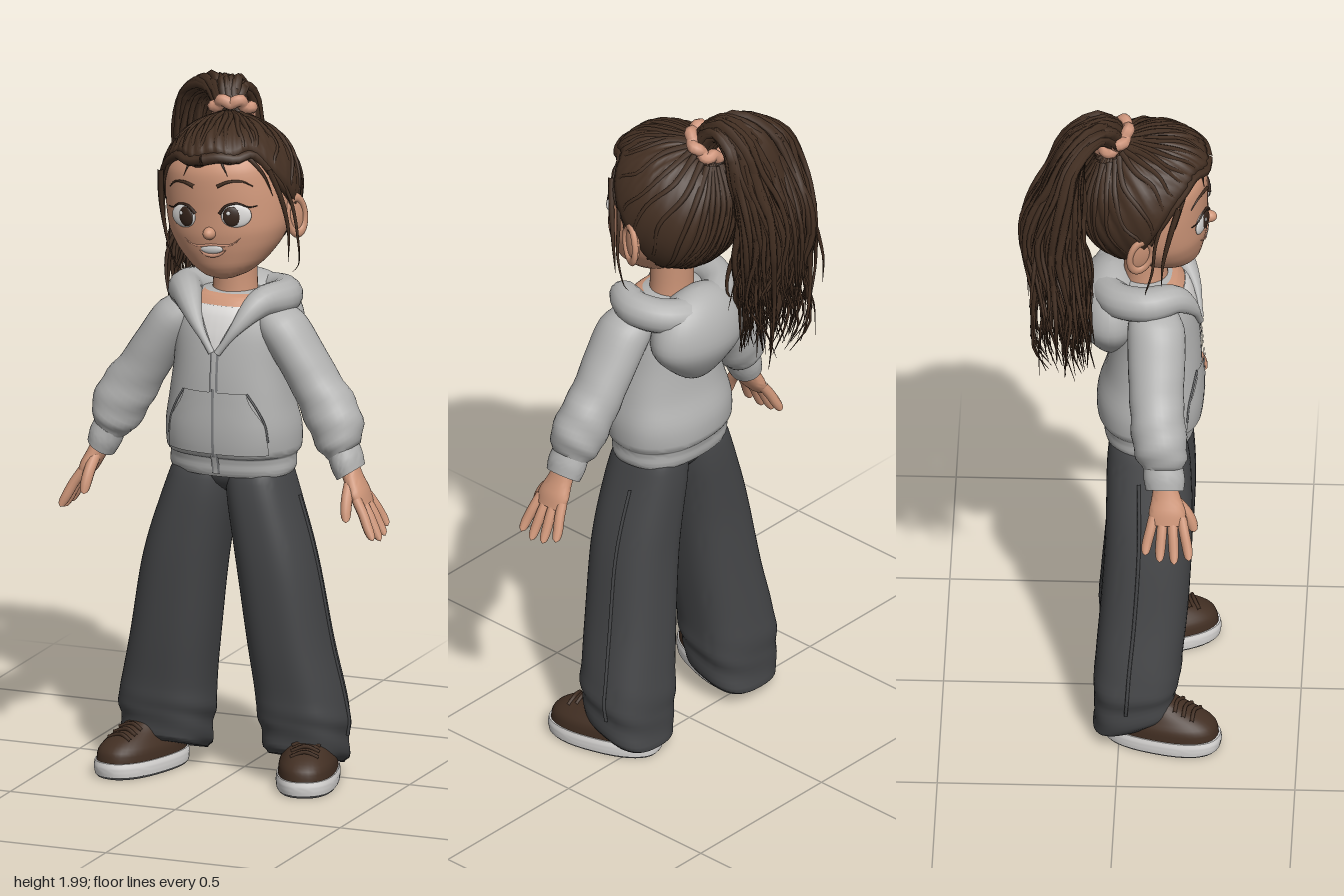
import * as THREE from 'three';
import { toCreasedNormals, mergeGeometries } from 'three/addons/utils/BufferGeometryUtils.js';

const V = (x, y, z) => new THREE.Vector3(x, y, z);
const step = THREE.MathUtils.smoothstep;
const mat = (name, color) => Object.assign(new THREE.MeshStandardMaterial({ color }), { name });
let seed = 7;
const rnd = () => (seed = (seed * 16807) % 2147483647) / 2147483647;

// Skin through rings [x, y, z, a, b]; a and b are the radii along u and v.
function loft(rows, { u = V(1, 0, 0), v = V(0, 0, 1), n = 36, exp = 2, sub = 4, ripple = () => 0 } = {}) {
  const centres = new THREE.CatmullRomCurve3(rows.map(r => V(r[0], r[1], r[2])));
  const radii = new THREE.CatmullRomCurve3(rows.map((r, i) => V(r[3], r[4], i * 0.03)));
  const m = (rows.length - 1) * sub, pos = [], idx = [];
  const flip = u.clone().cross(v).dot(centres.getPoint(1).sub(centres.getPoint(0))) < 0;
  const tri = (a, b, c) => (flip ? idx.push(a, c, b) : idx.push(a, b, c));
  const pw = c => Math.sign(c) * Math.abs(c) ** (2 / exp);
  for (let i = 0; i <= m; i++) {
    const c = centres.getPoint(i / m), r = radii.getPoint(i / m);
    for (let j = 0; j < n; j++) {
      const t = (j / n) * Math.PI * 2, k = 1 + ripple(i / m, t);
      const p = c.clone().addScaledVector(u, r.x * k * pw(Math.cos(t))).addScaledVector(v, r.y * k * pw(Math.sin(t)));
      pos.push(p.x, p.y, p.z);
      if (i < m) {
        const A = i * n + j, B = i * n + (j + 1) % n;
        tri(A, B, B + n); tri(A, B + n, A + n);
      }
    }
  }
  const e0 = pos.length / 3, c0 = centres.getPoint(0), c1 = centres.getPoint(1);
  pos.push(c0.x, c0.y, c0.z, c1.x, c1.y, c1.z);
  for (let j = 0; j < n; j++) {
    const k = (j + 1) % n;
    tri(e0, k, j); tri(e0 + 1, m * n + j, m * n + k);
  }
  const g = new THREE.BufferGeometry();
  g.setAttribute('position', new THREE.Float32BufferAttribute(pos, 3));
  g.setIndex(idx);
  return toCreasedNormals(g, 0.9);
}
// Ring from its left/right and front/back limits
const ring = (y, x0, x1, zf, zb) => [(x0 + x1) / 2, y, (zf + zb) / 2, Math.abs(x1 - x0) / 2, (zf - zb) / 2];
const mid = (y, w, zf, zb) => ring(y, -w, w, zf, zb);

// Tube whose radius follows a profile f(s)
const taper = s => 1 - 0.95 * s ** 2, round = s => Math.sqrt(Math.max(0, 1 - s ** 8)), even = () => 1;
function strand(pts, r, f = taper, seg = 20, rad = 6) {
  const curve = new THREE.CatmullRomCurve3(pts), g = new THREE.TubeGeometry(curve, seg, r, rad);
  const P = g.attributes.position, p = V(0, 0, 0);
  for (let k = 0; k < P.count; k++) {
    const s = Math.floor(k / (rad + 1)) / seg, c = curve.getPointAt(s);
    p.fromBufferAttribute(P, k).sub(c).multiplyScalar(f(s)).add(c);
    P.setXYZ(k, p.x, p.y, p.z);
  }
  return g;
}
// Front surface point of a mesh at x, y
function hit(target, x, y) {
  const h = new THREE.Raycaster(V(x, y, 2), V(0, 0, -1)).intersectObject(target)[0];
  return h ? { p: h.point, n: h.face.normal.clone() } : { p: V(x, y, 0.1), n: V(0, 0, 1) };
}
// Thin panel laid on a mesh between two heights, half width w(y)
function drape(target, y0, y1, w, lift) {
  const g = new THREE.PlaneGeometry(1, 1, 16, 14), P = g.attributes.position;
  for (let k = 0; k < P.count; k++) {
    const y = y0 + (y1 - y0) * (P.getY(k) + 0.5), x = P.getX(k) * 2 * w(y);
    P.setXYZ(k, x, y, hit(target, x, y).p.z + lift);
  }
  g.computeVertexNormals();
  return g;
}
const ball = (x, y, z) => new THREE.SphereGeometry(1, 24, 16).scale(x, y, z);

export function createModel() {
  const skin = mat('skin', 0xcd9578), hair = mat('hair', 0x432f22), grey = mat('hoodieGrey', 0xb2b2b1);
  const seam = mat('seamGrey', 0x808183), cloth = mat('trouserCharcoal', 0x454648), brown = mat('shoeBrown', 0x422f23);
  const white = mat('white', 0xdcdad8), under = mat('outsoleGrey', 0x77787a), band = mat('hairBandTan', 0xcf967c);
  const dark = mat('eyeDark', 0x35241b);
  const model = new THREE.Group(), head = new THREE.Group();
  head.name = 'head';
  model.add(head);
  const add = (name, geo, m, parent = model) => {
    const mesh = new THREE.Mesh(geo, m);
    mesh.name = name;
    parent.add(mesh);
    return mesh;
  };

  // Hoodie body with hem, open neck, zip and pockets
  const torso = add('hoodieBody', loft([mid(0.89, 0.174, 0.198, -0.047), mid(0.905, 0.18, 0.204, -0.052), mid(0.94, 0.18, 0.207, -0.055),
    mid(0.957, 0.191, 0.22, -0.068), mid(1.02, 0.193, 0.226, -0.068), mid(1.1, 0.178, 0.224, -0.045), mid(1.2, 0.162, 0.218, -0.03),
    mid(1.3, 0.157, 0.203, -0.02), mid(1.36, 0.14, 0.183, -0.01), mid(1.4, 0.1, 0.15, 0), mid(1.412, 0.05, 0.11, 0.03)],
    { n: 56, exp: 2.3, ripple: (s, t) => 0.008 * Math.sin(5 * t + 9 * s) }), grey);
  const neckline = y => Math.max(0.002, (y - 1.25) * 0.5);
  add('shirt', drape(torso, 1.25, 1.378, neckline, 0.005), white);
  add('upperChest', drape(torso, 1.378, 1.405, neckline, 0.004), skin);
  add('zipTape', drape(torso, 0.9, 1.26, () => 0.012, 0.004), seam);
  add('zip', drape(torso, 0.9, 1.26, () => 0.006, 0.007), grey);
  add('hemSeam', drape(torso, 0.945, 0.949, () => 0.165, 0.003), seam);
  add('pocketPanel', drape(torso, 0.96, 1.14, y => 0.15 - 0.055 * step(y, 1.02, 1.14), 0.006), grey);
  add('zipFront', drape(torso, 0.95, 1.15, () => 0.004, 0.009), seam);
  for (const s of [-1, 1])
    add('pocketEdge', strand([[0.15, 1.0], [0.143, 1.05], [0.12, 1.1], [0.095, 1.14]].map(([x, y]) => hit(torso, x * s, y).p.add(V(0, 0, 0.006))), 0.003, even), seam);

  // Hood: rolled collar and the bag hanging behind
  const side = [[0.008, 1.25, 0.218], [0.06, 1.325, 0.2], [0.108, 1.388, 0.15], [0.145, 1.393, 0.07], [0.11, 1.385, -0.01]];
  const loop = [...side.map(([x, y, z]) => V(-x, y, z)), V(0, 1.375, -0.05), ...side.reverse().map(p => V(...p))];
  add('hoodCollar', strand(loop, 0.05, s => 0.2 + 0.8 * step(Math.min(s, 1 - s), 0.02, 0.27), 60, 14), grey);
  const bag = new THREE.SphereGeometry(1, 36, 24), B = bag.attributes.position;
  for (let k = 0; k < B.count; k++) {
    const y = B.getY(k), w = 1 - 0.3 * step(-y, 0, 1);
    B.setXYZ(k, B.getX(k) * 0.165 * w, 1.295 + y * 0.145, -0.032 + B.getZ(k) * 0.1 * w);
  }
  bag.computeVertexNormals();
  add('hoodBag', bag, grey);
  add('neck', loft([mid(1.34, 0.075, 0.135, 0), mid(1.42, 0.063, 0.127, 0.005), mid(1.54, 0.062, 0.13, 0)]), skin);

  // Trousers
  add('trouserSeat', loft([mid(0.81, 0.03, 0.1, 0.03), mid(0.86, 0.09, 0.165, -0.015), mid(0.93, 0.16, 0.18, -0.03)], { exp: 2.4 }), cloth);
  for (const s of [-1, 1]) {
    const k = s < 0 ? -1.06 : 1;
    const rows = [[0.93, 0, 0.145, 0.165, -0.02], [0.885, -0.008, 0.166, 0.184, -0.034], [0.82, -0.004, 0.187, 0.194, -0.039], [0.7, 0.015, 0.224, 0.2, -0.04],
      [0.6, 0.03, 0.248, 0.2, -0.042], [0.4, 0.055, 0.282, 0.19, -0.055], [0.25, 0.073, 0.313, 0.176, -0.068], [0.18, 0.076, 0.325, 0.172, -0.073],
      [0.13, 0.086, 0.32, 0.162, -0.07], [0.07, 0.092, 0.317, 0.156, -0.074], [0.055, 0.105, 0.302, 0.145, -0.064]];
    const leg = loft(rows.map(([y, a, b, f, c]) => ring(y, a * k, b * k, f, c)),
      { n: 48, exp: 2.6, ripple: (q, t) => 0.018 * step(q, 0.5, 0.85) * Math.sin(2 * t + q * 46) + 0.008 * Math.sin(4 * t + q * 5) });
    const P = leg.attributes.position;
    for (let i = 0; i < P.count; i++) // hem rises over the instep
      P.setY(i, P.getY(i) + (P.getZ(i) - 0.03) * 0.32 * (1 - step(P.getY(i), 0.06, 0.3)));
    add('trouserLeg', leg, cloth);
    add('trouserSideSeam', strand(rows.slice(2, 9).map(([y, , x, f, c]) => V((x + 0.002) * k, y, (f + c) / 2 - 0.025)), 0.005, even, 30), cloth);

    // Shoes, toes turned out
    const shoe = new THREE.Group();
    shoe.name = 'shoe';
    shoe.position.set(s < 0 ? -0.26 : 0.235, 0, s < 0 ? 0.12 : 0.1);
    shoe.rotation.y = s * 0.29;
    model.add(shoe);
    const foot = { exp: 2.4, n: 40, sub: 3 };
    add('outsole', loft([mid(0, 0.08, 0.16, -0.16), mid(0.008, 0.086, 0.168, -0.166)], foot), under, shoe);
    add('sole', loft([mid(0.008, 0.086, 0.168, -0.166), mid(0.03, 0.088, 0.172, -0.168), mid(0.047, 0.085, 0.169, -0.165)], foot), white, shoe);
    add('shoeUpper', loft([mid(0.042, 0.082, 0.164, -0.16), mid(0.075, 0.079, 0.157, -0.16), mid(0.1, 0.066, 0.125, -0.155),
      mid(0.125, 0.055, 0.065, -0.145), mid(0.16, 0.045, 0, -0.13)], foot), brown, shoe);
    for (let i = 0; i < 3; i++)
      add('lace', strand([V(-0.04, 0.103 + i * 0.01, 0.1 - i * 0.025), V(0, 0.117 + i * 0.01, 0.095 - i * 0.025), V(0.04, 0.103 + i * 0.01, 0.1 - i * 0.025)], 0.006, even), brown, shoe);

    // Sleeve and cuff
    const u = V(0.84 * s, 0.545, 0);
    const arm = a => a.map(([x, ...r]) => [x * s, ...r]);
    add('sleeve', loft(arm([[0.1, 1.37, 0.09, 0.035, 0.055], [0.155, 1.32, 0.1, 0.066, 0.08], [0.215, 1.235, 0.103, 0.067, 0.08], [0.265, 1.155, 0.105, 0.07, 0.076],
      [0.31, 1.085, 0.112, 0.079, 0.077], [0.343, 1.02, 0.12, 0.074, 0.074], [0.357, 0.98, 0.126, 0.048, 0.055]]),
      { u, n: 32, ripple: (q, t) => 0.035 * Math.sin(q * 34 + 2 * t) * step(q, 0.3, 0.7) }), grey);
    add('cuff', loft(arm([[0.353, 0.985, 0.127, 0.047, 0.056], [0.366, 0.955, 0.13, 0.048, 0.058], [0.378, 0.925, 0.132, 0.043, 0.053]]), { u }), grey);

    // Hand
    add('palm', loft(arm([[0.372, 0.945, 0.132, 0.028, 0.032], [0.39, 0.905, 0.137, 0.026, 0.042], [0.41, 0.868, 0.14, 0.024, 0.052], [0.427, 0.838, 0.14, 0.016, 0.044]]), { u, n: 24 }), skin);
    for (let i = 0; i < 4; i++) {
      const z = 0.102 + i * 0.026, l = [0.85, 1, 1.05, 0.96][i], at = (x, y, dz) => V(s * (0.415 + x * l), 0.86 - y * l, z + dz);
      add('finger', strand([at(0, 0, 0), at(0.025, 0.04, (i - 1.5) * 0.006), at(0.045, 0.08, (i - 1.5) * 0.012), at(0.062, 0.112, (i - 1.5) * 0.015)], 0.0145, round, 16, 10), skin);
    }
    add('thumb', strand([V(s * 0.385, 0.905, 0.155), V(s * 0.39, 0.865, 0.19), V(s * 0.394, 0.832, 0.207), V(s * 0.398, 0.8, 0.216)], 0.0165, round, 16, 10), skin);
  }

  // Face
  const face = add('face', loft([mid(1.458, 0.03, 0.18, 0.12), mid(1.47, 0.066, 0.204, 0.07), mid(1.5, 0.108, 0.222, 0.02), mid(1.55, 0.15, 0.234, -0.03),
    mid(1.6, 0.173, 0.241, -0.06), mid(1.66, 0.18, 0.24, -0.08), mid(1.72, 0.178, 0.24, -0.09), mid(1.78, 0.167, 0.234, -0.08), mid(1.84, 0.125, 0.19, -0.05), mid(1.88, 0.04, 0.11, 0.02)],
    { n: 56, exp: 2.1 }), skin, head);
  const onFace = (name, geo, m, x, y, lift = 0) => {
    const { p, n } = hit(face, x, y), mesh = add(name, geo, m, head);
    mesh.position.copy(p).addScaledVector(n, lift);
    mesh.lookAt(mesh.position.clone().add(n));
  };
  const line = (pts, lift) => pts.map(([x, y]) => { const h = hit(face, x, y); return h.p.addScaledVector(h.n, lift); });
  onFace('nose', ball(0.018, 0.018, 0.024), skin, 0, 1.603);
  onFace('teeth', ball(0.034, 0.013, 0.006), white, 0, 1.556);
  add('smile', strand(line([[-0.085, 1.585], [-0.06, 1.568], [-0.03, 1.566], [0, 1.569], [0.03, 1.566], [0.06, 1.568], [0.085, 1.585]], 0), 0.004, s => 0.3 + 0.7 * Math.sin(s * Math.PI)), band, head);
  add('lowerLip', strand(line([[-0.04, 1.552], [-0.022, 1.541], [0, 1.537], [0.022, 1.541], [0.04, 1.552]], 0), 0.006, s => 0.2 + 0.8 * Math.sin(s * Math.PI)), band, head);
  for (const s of [-1, 1]) {
    onFace('eyeWhite', ball(0.043, 0.033, 0.009), white, s * 0.08, 1.65);
    onFace('iris', ball(0.025, 0.028, 0.008), dark, s * 0.068, 1.65, 0.005);
    onFace('eyeGlint', ball(0.006, 0.006, 0.003), white, s * 0.07 - 0.009, 1.661, 0.012);
    add('upperLashes', strand(line([[s * 0.036, 1.66], [s * 0.055, 1.681], [s * 0.085, 1.686], [s * 0.112, 1.672], [s * 0.13, 1.672]], 0.006), 0.005, s2 => 1 - 0.7 * s2), dark, head);
    add('eyebrow', strand(line([[s * 0.035, 1.737], [s * 0.065, 1.748], [s * 0.1, 1.746], [s * 0.125, 1.728]], 0.002), 0.006, s2 => 1 - 0.75 * s2), hair, head);
    const ear = new THREE.Group();
    ear.name = 'ear';
    ear.position.set(s * 0.18, 1.612, 0.055);
    ear.rotation.set(0.15, s * 1.15, 0);
    head.add(ear);
    add('earLobe', ball(0.036, 0.058, 0.014), skin, ear);
    add('earRim', new THREE.TorusGeometry(0.033, 0.009, 10, 28).scale(1, 1.6, 1), skin, ear).position.z = 0.008;
  }

  // Hair swept from the full front hairline to the tail base, with combed grooves
  const pole = V(-0.1, 0.9, -0.4).normalize(), nu = 176, nv = 18, pos = [], idx = [];
  const edge = f => THREE.MathUtils.degToRad(33 - 91 * step(Math.abs(f), 0.75, 2.15) + 2.5 * Math.sin(f * 9));
  const scalp = (f, t, k = 1) => {
    const e = edge(f), d = V(Math.sin(f) * Math.cos(e), Math.sin(e), Math.cos(f) * Math.cos(e));
    const w = pole.angleTo(d), q = pole.clone().multiplyScalar(Math.sin((1 - t) * w)).addScaledVector(d, Math.sin(t * w)).divideScalar(Math.sin(w));
    if (q.y > 0 && q.z > 0) { // fuller above the forehead
      const m = Math.hypot(q.y, q.z) / (q.y ** 2.7 + q.z ** 2.7) ** (1 / 2.7);
      q.y *= m; q.z *= m;
    }
    return V(q.x * 0.199 * k, 1.69 + q.y * 0.208 * k, 0.065 + q.z * (q.z > 0 ? 0.207 : 0.202) * k);
  };
  for (let i = 0; i <= nv; i++) for (let j = 0; j <= nu; j++) {
    const f = (j / nu) * 2 * Math.PI - Math.PI, t = i / nv;
    const g = Math.abs(Math.sin(f * 22 + 1.5 * Math.sin(t * 4 + f * 3))) ** 0.6;
    const p = scalp(f, t, i === nv ? 0.86 : 0.98 + 0.035 * g * Math.sin(Math.PI * Math.min(1, t * 0.8 + 0.1)));
    pos.push(p.x, p.y, p.z);
    if (i < nv && j < nu) {
      const a = i * (nu + 1) + j, b = a + nu + 1;
      idx.push(a, b, b + 1, a, b + 1, a + 1);
    }
  }
  const cap = new THREE.BufferGeometry();
  cap.setAttribute('position', new THREE.Float32BufferAttribute(pos, 3));
  cap.setIndex(idx);
  cap.computeVertexNormals();
  add('hairCap', cap, hair, head);
  const locks = [];
  for (let i = 0; i < 34; i++) { // raised locks over the cap
    const f = (i / 34) * 2 * Math.PI + rnd() * 0.15 - Math.PI;
    locks.push(strand([0.15, 0.4, 0.65, 0.85, 1].map((t, k) => scalp(f + 0.05 * Math.sin(k * 2 + i), t, 1 - 0.05 * t ** 6)), 0.011, s => 1 - 0.6 * s, 18, 5));
  }
  for (const s of [-1, 1]) { // rolled hairline and thin wisps around the face
    locks.push(strand([0, 0.3, 0.6, 0.9, 1.2, 1.45].map(f => scalp(s * f, 0.97, 0.95)), 0.017, q => 1 - 0.6 * q));
    locks.push(strand([V(s * 0.165, 1.77, 0.165), V(s * 0.183, 1.68, 0.14), V(s * 0.187, 1.58, 0.12), V(s * 0.175, 1.49, 0.115)], 0.009));
    locks.push(strand([V(s * 0.18, 1.73, 0.12), V(s * 0.195, 1.66, 0.1), V(s * 0.2, 1.56, 0.09), V(s * 0.185, 1.47, 0.07), V(s * 0.165, 1.45, 0.07)], 0.006));
    locks.push(strand(line([[s * 0.07, 1.835], [s * 0.12, 1.795], [s * 0.148, 1.75], [s * 0.162, 1.69]], 0.004), 0.007));
    locks.push(strand(line([[s * 0.03, 1.83], [s * 0.05, 1.795], [s * 0.065, 1.765]], 0.006), 0.005));
  }
  add('hairLocks', mergeGeometries(locks), hair, head);
  head.position.set(0.155, 0.008, 0); // slight sideways tilt about the chin
  head.rotation.z = 0.1;

  // Hair tie and high, messy ponytail
  const tie = add('hairTie', strand(Array.from({ length: 25 }, (_, i) => {
    const a = (i / 24) * Math.PI * 2, r = 0.05 + 0.006 * Math.sin(a * 7);
    return V(Math.cos(a) * r, Math.sin(a) * r, 0.005 * Math.cos(a * 6));
  }), 0.018, even, 60, 8), band);
  tie.position.set(-0.045, 1.895, -0.022);
  tie.lookAt(-0.145, 2.395, -0.4);
  const tail = new THREE.CatmullRomCurve3([[-0.045, 1.885, -0.01], [-0.085, 1.948, -0.06], [-0.13, 1.91, -0.13], [-0.146, 1.8, -0.165], [-0.155, 1.65, -0.188],
    [-0.167, 1.5, -0.178], [-0.175, 1.35, -0.163], [-0.172, 1.2, -0.15]].map(p => V(...p)));
  const tails = [strand(tail.points, 0.06, s => 0.5 + 0.5 * step(s, 0.1, 0.4) - 0.95 * step(s, 0.55, 1), 30, 10)];
  for (let i = 0; i < 170; i++) {
    const a = rnd() * Math.PI * 2, q = 0.3 + 0.7 * Math.sqrt(rnd()), end = 0.74 + 0.26 * rnd(), ph = rnd() * 6, flick = 0.07 * (rnd() - 0.5), pts = [];
    for (let k = 0; k <= 9; k++) {
      const s = (k / 9) * end, X = V(1, 0, 0), N = X.clone().cross(tail.getTangentAt(s)).normalize();
      const wx = 0.03 + 0.102 * step(s, 0, 0.3) - 0.045 * step(s, 0.75, 1), wn = 0.028 + 0.063 * step(s, 0.18, 0.5) - 0.025 * step(s, 0.8, 1);
      const wave = 0.02 * s * Math.sin(s * 16 + ph), tip = flick * step(k, 6, 9);
      pts.push(tail.getPointAt(s).addScaledVector(X, Math.cos(a) * q * wx + wave + tip).addScaledVector(N, Math.sin(a) * q * wn + wave * Math.cos(ph) - tip * Math.sin(ph)));
    }
    tails.push(strand(pts, 0.009 + 0.007 * rnd(), taper, 26, 5));
  }
  add('ponytail', mergeGeometries(tails), hair);
  return model;
}
